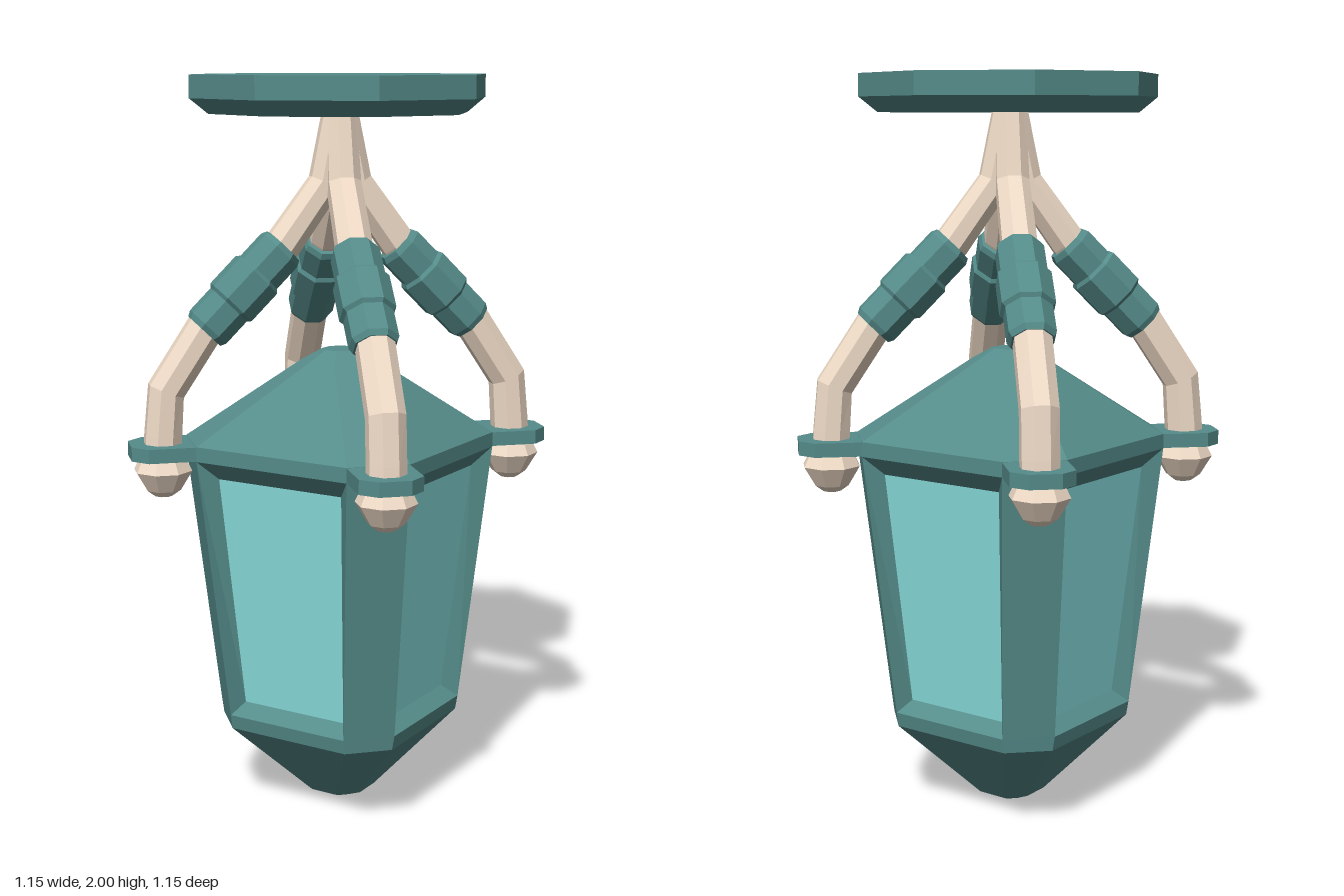
import * as THREE from 'three';

const mat = (color) => new THREE.MeshStandardMaterial({ color, flatShading: true, side: THREE.DoubleSide });
const teal = mat(0x558c8a), glass = mat(0x8be0e0), bone = mat(0xf0dcc8);

function mesh(name, geometry, material) {
  const m = new THREE.Mesh(geometry, material);
  m.name = name;
  return m;
}

// Flat-shaded geometry from convex polygons (counter-clockwise from outside)
function fromPolygons(polys) {
  const out = [];
  for (const p of polys)
    for (let i = 1; i < p.length - 1; i++) out.push(...p[0], ...p[i], ...p[i + 1]);
  const g = new THREE.BufferGeometry();
  g.setAttribute('position', new THREE.Float32BufferAttribute(out, 3));
  g.computeVertexNormals();
  return g;
}

// Skin a list of rings, capping both ends; skip(ring, side) leaves a face open
function loft(rings, skip = () => false) {
  const n = rings[0].length;
  const polys = [[...rings[0]].reverse(), rings[rings.length - 1]];
  for (let r = 0; r < rings.length - 1; r++)
    for (let i = 0; i < n; i++) {
      const j = (i + 1) % n;
      if (!skip(r, i)) polys.push([rings[r][i], rings[r][j], rings[r + 1][j], rings[r + 1][i]]);
    }
  return fromPolygons(polys);
}

// Eight-sided tube along [x, y, radius] sections in the xy plane
function tube(sections) {
  const last = sections.length - 1;
  return loft(sections.map(([x, y, r], k) => {
    const a = sections[Math.max(0, k - 1)], b = sections[Math.min(last, k + 1)];
    const len = Math.hypot(b[0] - a[0], b[1] - a[1]);
    const nx = -(b[1] - a[1]) / len, ny = (b[0] - a[0]) / len;
    return Array.from({ length: 8 }, (_, i) => {
      const t = (i + 0.5) * Math.PI / 4, c = r * Math.cos(t);
      return [x + nx * c, y + ny * c, r * Math.sin(t)];
    });
  }));
}

// Point turned by k quarter turns about y
function turn(x, y, w, k) {
  const c = [1, 0, -1, 0][k], s = [0, 1, 0, -1][k];
  return [x * c - w * s, y, -(x * s + w * c)];
}

// Octagon with four narrow sides (half width h) facing the axes at distance R
function octagon([R, h, y]) {
  const pts = [];
  for (let k = 0; k < 4; k++) pts.push(turn(R, y, -h, k), turn(R, y, h, k));
  return pts;
}

function createLantern() {
  const group = new THREE.Group();
  group.name = 'lantern';
  const rings = [
    [0.04, 0.016, 0], [0.09, 0.036, 0.025], [0.32, 0.065, 0.24], [0.325, 0.07, 0.28],
    [0.41, 0.083, 1.0], [0.41, 0.083, 1.04], [0.095, 0.039, 1.245], [0.045, 0.018, 1.275],
  ].map(octagon);
  group.add(mesh('lanternBody', loft(rings, (r, i) => r === 3 && i % 2 === 1), teal));

  // Bevelled window frames and recessed panes on the four wide sides
  const bevels = [], panes = [];
  for (let k = 0; k < 4; k++) {
    const i = 2 * k + 1, j = (i + 1) % 8;
    const outer = [rings[3][i], rings[3][j], rings[4][j], rings[4][i]];
    const at = (c, t, y) => turn(c + t, y, c - t, k);
    const inner = [at(0.167, 0.113, 0.31), at(0.167, -0.113, 0.31), at(0.216, -0.134, 0.95), at(0.216, 0.134, 0.95)];
    for (let e = 0; e < 4; e++) {
      const f = (e + 1) % 4;
      bevels.push([outer[e], outer[f], inner[f], inner[e]]);
    }
    panes.push(inner);
  }
  group.add(mesh('windowFrames', fromPolygons(bevels), teal));
  group.add(mesh('windowPanes', fromPolygons(panes), glass));
  return group;
}

function createArm() {
  const group = new THREE.Group();
  group.name = 'arm';
  group.add(mesh('armBone', tube([
    [0.49, 0.99, 0.052], [0.485, 1.06, 0.052], [0.475, 1.18, 0.052], [0.37, 1.34, 0.052],
    [0.155, 1.56, 0.05], [0.04, 1.72, 0.047], [0.005, 1.91, 0.042],
  ]), bone));
  group.add(mesh('armKnob', tube([
    [0.487, 0.895, 0.025], [0.487, 0.912, 0.048], [0.487, 0.965, 0.08], [0.487, 1.005, 0.06],
  ]), bone));

  // Wrapped sleeve: a raised middle band between two thinner ones
  const sleeve = [[0, 0.058], [0.05, 0.066], [0.31, 0.066], [0.34, 0.075], [0.66, 0.075], [0.69, 0.066], [0.95, 0.066], [1, 0.058]];
  group.add(mesh('sleeve', tube(sleeve.map(([t, r]) => [0.37 - 0.215 * t, 1.335 + 0.22 * t, r])), teal));

  // Flat bracket tab holding the arm
  const s = new THREE.Shape([[0.36, -0.083], [0.535, -0.083], [0.575, -0.042], [0.575, 0.042], [0.535, 0.083], [0.36, 0.083]]
    .map(([x, y]) => new THREE.Vector2(x, y)));
  const tab = new THREE.ExtrudeGeometry(s, { depth: 0.038, bevelEnabled: false });
  tab.rotateX(-Math.PI / 2).translate(0, 1.001, 0);
  group.add(mesh('bracketTab', tab, teal));
  return group;
}

export function createModel() {
  const model = new THREE.Group();
  model.name = 'hangingLantern';
  model.add(createLantern());

  for (let k = 0; k < 4; k++) {
    const arm = createArm();
    arm.rotation.y = k * Math.PI / 2;
    model.add(arm);
  }

  // Ceiling plate with a bevelled underside
  const plate = [[0.35, 1.9], [0.4, 1.94], [0.4, 2]].map(([r, y]) =>
    Array.from({ length: 8 }, (_, i) => [r * Math.cos(i * Math.PI / 4), y, -r * Math.sin(i * Math.PI / 4)]));
  model.add(mesh('ceilingPlate', loft(plate), teal));
  return model;
}
